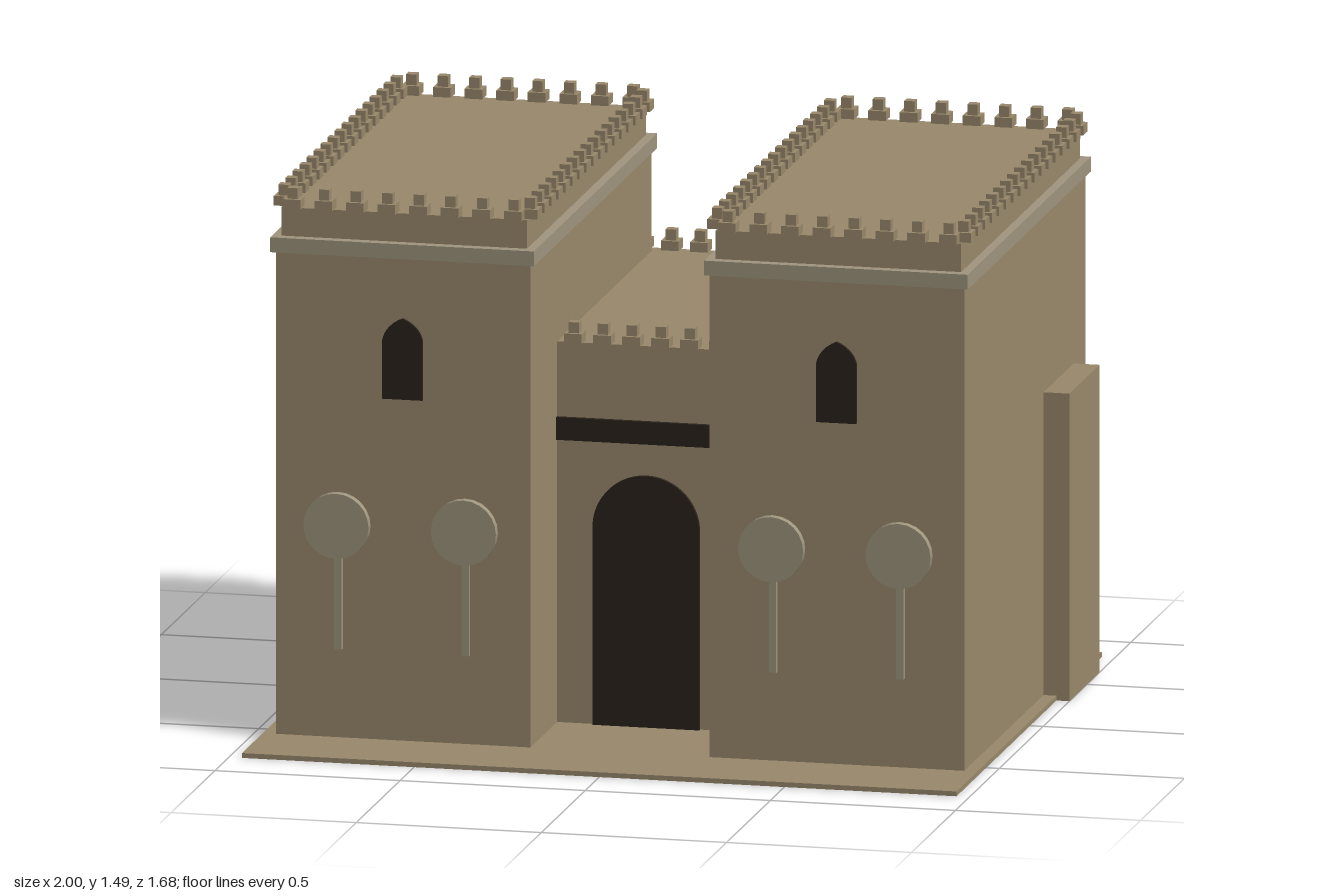
import * as THREE from 'three';

const material = (color) => new THREE.MeshStandardMaterial({ color, roughness: 0.9 });

export function createModel() {
  const model = new THREE.Group();
  model.name = 'gatehouse';
  const wall = material(0x9a8a6c);
  const trim = material(0xa0967f);
  const dark = material(0x2a221b);

  const add = (parent, name, geometry, mat) => {
    const mesh = new THREE.Mesh(geometry, mat);
    mesh.name = name;
    parent.add(mesh);
    return mesh;
  };

  // Box given by its limits on each axis
  const block = (parent, name, [x0, x1], [y0, y1], [z0, z1], mat = wall) => {
    const mesh = add(parent, name, new THREE.BoxGeometry(x1 - x0, y1 - y0, z1 - z0), mat);
    mesh.position.set((x0 + x1) / 2, (y0 + y1) / 2, (z0 + z1) / 2);
    return mesh;
  };

  // Stepped merlon: wide foot with a smaller cap
  const merlon = (parent, x, y, z) => {
    const group = new THREE.Group();
    group.name = 'merlon';
    block(group, 'merlonFoot', [-0.024, 0.024], [0, 0.026], [-0.024, 0.024]);
    block(group, 'merlonCap', [-0.014, 0.014], [0.026, 0.055], [-0.014, 0.014]);
    group.position.set(x, y, z);
    parent.add(group);
  };

  // Evenly spaced merlons between two points
  const merlonRow = (parent, count, y, [x0, z0], [x1, z1]) => {
    for (let i = 0; i < count; i++) {
      const t = i / (count - 1);
      merlon(parent, x0 + (x1 - x0) * t, y, z0 + (z1 - z0) * t);
    }
  };

  const panel = (parent, name, shape, x, z0, z1) => {
    const geometry = new THREE.ExtrudeGeometry(shape, {
      depth: z1 - z0, bevelEnabled: false, curveSegments: 16,
    });
    add(parent, name, geometry, dark).position.set(x, 0, z0);
  };

  // Ground plate
  block(model, 'groundPlate', [-0.965, 0.965], [0, 0.013], [-0.82, 0.84]);

  // Pointed window outline
  const windowShape = new THREE.Shape();
  windowShape.moveTo(-0.054, 0.935);
  windowShape.lineTo(0.054, 0.935);
  windowShape.lineTo(0.054, 1.095);
  windowShape.quadraticCurveTo(0.045, 1.135, 0, 1.153);
  windowShape.quadraticCurveTo(-0.045, 1.135, -0.054, 1.095);
  windowShape.closePath();

  // Twin towers
  for (const side of [-1, 1]) {
    const tower = new THREE.Group();
    tower.name = side > 0 ? 'leftTower' : 'rightTower';
    model.add(tower);
    const span = (a, b) => (side > 0 ? [a, b] : [-b, -a]);

    block(tower, 'towerBody', span(0.242, 0.93), [0, 1.32], [-0.78, 0.602]);
    block(tower, 'cornice', span(0.23, 0.942), [1.315, 1.355], [-0.792, 0.615], trim);
    block(tower, 'parapet', span(0.255, 0.918), [1.355, 1.432], [-0.768, 0.588]);
    block(tower, 'buttress', span(0.92, 1.0), [0, 0.83], [-0.643, -0.3]);

    // Crown of merlons around the roof
    for (const z of [0.583, -0.77]) {
      merlonRow(tower, 8, 1.432, [side * 0.289, z], [side * 0.886, z]);
    }
    for (const x of [0.253, 0.918]) {
      merlonRow(tower, 17, 1.432, [side * x, -0.727], [side * x, 0.551]);
    }

    panel(tower, 'window', windowShape, side * 0.586, 0.595, 0.612);

    // Round ornaments on stems
    for (const x of [0.415, 0.759]) {
      const cx = side * x;
      block(tower, 'ornamentStem', [cx - 0.01, cx + 0.01], [0.253, 0.52], [0.595, 0.616], trim);
      const disc = add(tower, 'ornamentDisc', new THREE.CylinderGeometry(0.088, 0.088, 0.024, 24), trim);
      disc.rotation.x = Math.PI / 2;
      disc.position.set(cx, 0.59, 0.626);
    }
  }

  // Central gate block and rear facade
  const gate = new THREE.Group();
  gate.name = 'gate';
  model.add(gate);
  block(gate, 'gateBody', [-0.242, 0.242], [0, 1.04], [-0.79, 0.298]);
  block(gate, 'rearFacade', [-0.288, 0.288], [0, 1.04], [-0.79, -0.818]
    .reverse());
  block(gate, 'lintel', [-0.242, 0.242], [0.777, 0.838], [0.28, 0.31], dark);
  merlonRow(gate, 6, 1.04, [-0.196, 0.289], [0.196, 0.289]);
  merlonRow(gate, 8, 1.04, [-0.274, -0.815], [0.274, -0.815]);
  for (const x of [-0.282, 0.282]) merlon(gate, x, 1.04, -0.785);

  // Round-arched doors, front and rear
  const doorShape = new THREE.Shape();
  doorShape.moveTo(-0.144, 0);
  doorShape.lineTo(0.144, 0);
  doorShape.lineTo(0.144, 0.547);
  doorShape.absarc(0, 0.547, 0.144, 0, Math.PI, false);
  doorShape.closePath();
  panel(gate, 'frontDoor', doorShape, 0, 0.28, 0.309);
  panel(gate, 'rearDoor', doorShape, 0, -0.836, -0.805);

  return model;
}
